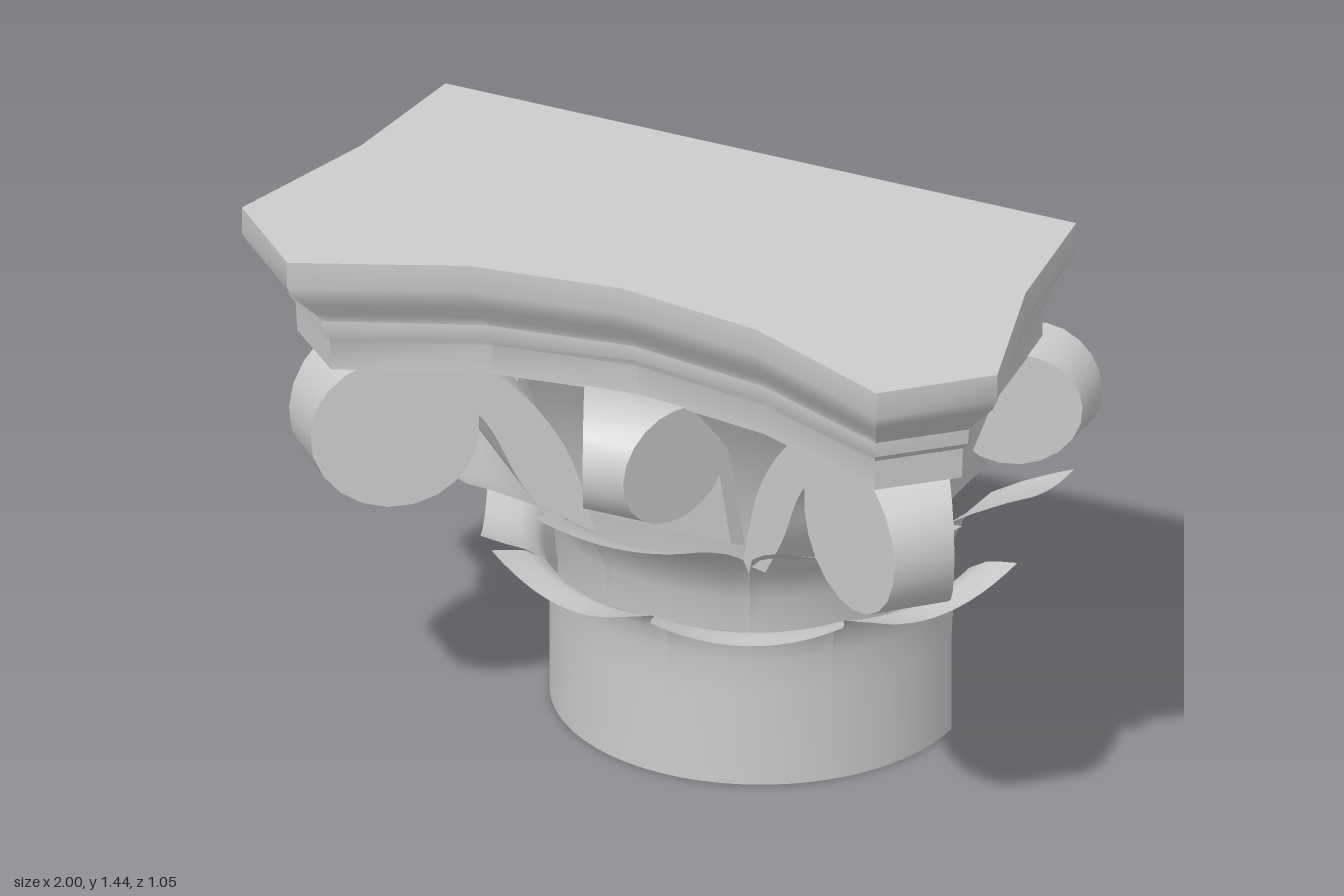
import * as THREE from 'three';
import { toCreasedNormals } from 'three/addons/utils/BufferGeometryUtils.js';

const CZ = -0.465; // column axis, on the open back plane
const mat = new THREE.MeshStandardMaterial({ color: 0xcccccc, side: THREE.DoubleSide });

function part(name, geometry, angle = 0) {
  const mesh = new THREE.Mesh(geometry, mat);
  mesh.name = name;
  mesh.rotation.y = angle;
  return mesh;
}

// Surface through a grid of points: rows x cols
function grid(rows, cols, pointAt) {
  const pos = [], idx = [];
  for (let i = 0; i < rows; i++) {
    for (let j = 0; j < cols; j++) {
      pos.push(...pointAt(i, j));
      if (i && j) {
        const a = (i - 1) * cols + j - 1, b = a + 1, c = a + cols, d = c + 1;
        idx.push(a, b, d, a, d, c);
      }
    }
  }
  const g = new THREE.BufferGeometry();
  g.setAttribute('position', new THREE.Float32BufferAttribute(pos, 3));
  g.setIndex(idx);
  g.computeVertexNormals();
  return g;
}

// Leaf: starts as an eighth of a drum and opens into a strip with a sagging rim.
// Profile rows are [radius, height, openness].
function leaf(profile, halfWidth, sag, u0 = -1, u1 = 1) {
  const cols = 13, mix = THREE.MathUtils.lerp;
  return grid(profile.length, cols, (i, j) => {
    const [r, y, open] = profile[i];
    const u = mix(u0, u1, j / (cols - 1)), a = u * Math.PI / 8;
    return [
      mix(r * Math.sin(a), u * halfWidth, open),
      y - sag * (1 - u * u) * open,
      mix(r * Math.cos(a), r, open),
    ];
  });
}

const lowerProfile = [
  [0.505, 0, 0], [0.505, 0.25, 0], [0.51, 0.34, 0], [0.52, 0.4, 0.05],
  [0.54, 0.445, 0.25], [0.575, 0.475, 0.55], [0.615, 0.492, 0.8], [0.66, 0.51, 1],
];
const upperProfile = [
  [0.49, 0.38, 0], [0.5, 0.5, 0], [0.54, 0.59, 0.1], [0.6, 0.665, 0.4],
  [0.68, 0.725, 0.75], [0.76, 0.772, 0.95], [0.82, 0.8, 1],
];

// Scroll on a stalk: outline in the (radial, height) plane, width varying with radius
function scroll(center, radius, outer, inner, widthAt, lMin = -1, lMax = 1) {
  const v = ([x, y]) => new THREE.Vector2(x, y);
  const [cx, cy] = center;
  const s = new THREE.Shape();
  s.moveTo(...outer[0]);
  s.splineThru([...outer.slice(1).map(v), new THREE.Vector2(cx, cy + radius)]);
  s.absarc(cx, cy, radius, Math.PI / 2, -Math.PI * 1.25, true);
  s.lineTo(...inner[0]);
  s.splineThru(inner.slice(1).map(v));
  s.closePath();
  let g = new THREE.ExtrudeGeometry(s, { depth: 2, bevelEnabled: false, curveSegments: 9 });
  g.translate(0, 0, -1).rotateY(-Math.PI / 2);
  const p = g.attributes.position;
  for (let i = 0; i < p.count; i++) {
    p.setX(i, THREE.MathUtils.clamp(p.getX(i) * widthAt(p.getZ(i)), lMin, lMax));
  }
  g = toCreasedNormals(g, 0.8);
  return g;
}

const cornerScroll = () => scroll([0.97, 0.915], 0.2,
  [[0.5, 0.62], [0.57, 0.85], [0.7, 1.03], [0.83, 1.1]],
  [[0.81, 1.0], [0.74, 0.9], [0.68, 0.77], [0.6, 0.64]],
  (r) => 0.12 - 0.22 * (r - 0.97));

const centerScroll = (lMin, lMax) => scroll([0.73, 0.97], 0.148,
  [[0.53, 0.68], [0.565, 0.9], [0.61, 1.04], [0.665, 1.105]],
  [[0.625, 1.01], [0.61, 0.95], [0.595, 0.85], [0.57, 0.7]],
  (r) => 0.1 - 0.45 * (r - 0.775), lMin, lMax);

// Top slab: plan outline swept down a moulding, open at the back
function abacus() {
  const group = new THREE.Group();
  group.name = 'abacus';
  // Right half of the plan: x, z, and inset in x and z at the slab's foot
  const half = [
    [0, 0.305, 0, -0.09], [0.38, 0.358, -0.02, -0.09], [0.78, 0.53, -0.06, -0.118],
    [1, 0.32, -0.12, -0.055], [0.88, -0.09, -0.095, -0.01], [0.835, CZ, -0.09, 0],
  ];
  const plan = [
    ...half.slice(1).reverse().map(([x, z, dx, dz]) => [-x, z, -dx, dz]), ...half,
  ];
  const levels = [
    [1.11, 1], [1.19, 0.97], [1.21, 0.83], [1.247, 0.8], [1.25, 0.8],
    [1.275, 0.63], [1.31, 0.35], [1.34, 0.13], [1.37, 0], [1.44, 0],
  ];
  const at = ([x, z, dx, dz], f) => [x + dx * f, z + dz * f];
  const side = grid(levels.length, plan.length, (i, j) => {
    const [x, z] = at(plan[j], levels[i][1]);
    return [x, levels[i][0], z];
  });
  group.add(part('abacusMoulding', toCreasedNormals(side, 0.55)));
  for (const [name, y, f] of [['abacusTop', 1.44, 0], ['abacusUnderside', 1.11, 1]]) {
    const shape = new THREE.Shape(plan.map((p) => {
      const [x, z] = at(p, f);
      return new THREE.Vector2(x, -z);
    }));
    const cap = new THREE.ShapeGeometry(shape).rotateX(-Math.PI / 2).translate(0, y, 0);
    group.add(part(name, cap));
  }
  return group;
}

export function createModel() {
  const model = new THREE.Group();
  model.name = 'halfCapital';
  const column = new THREE.Group();
  column.name = 'column';
  column.position.z = CZ;
  model.add(abacus(), column);

  // Flaring bell behind the leaves
  const bell = [
    [0.488, 0], [0.485, 0.5], [0.495, 0.62], [0.525, 0.75], [0.57, 0.88], [0.63, 1.0], [0.7, 1.11],
  ].map(([r, y]) => new THREE.Vector2(r, y));
  column.add(part('bell', new THREE.LatheGeometry(bell, 32, -Math.PI / 2, Math.PI)));

  // Lower row of leaves
  for (const k of [-3, -1, 1, 3]) {
    column.add(part('lowerLeaf', leaf(lowerProfile, 0.23, 0.055), k * Math.PI / 8));
  }

  // Upper row of leaves, the end ones cut in half by the back plane
  for (let k = -2; k <= 2; k++) {
    const g = leaf(upperProfile, 0.22, 0.038, k === -2 ? -0.1 : -1, k === 2 ? 0.1 : 1);
    column.add(part('upperLeaf', g, k * Math.PI / 4));
  }

  // Scrolls under the corners and the middle of each face
  for (const s of [-1, 1]) column.add(part('cornerScroll', cornerScroll(), s * Math.PI / 4));
  column.add(part('frontScroll', centerScroll()));
  column.add(part('leftScroll', centerScroll(-1, 0.06), Math.PI / 2));
  column.add(part('rightScroll', centerScroll(-0.06, 1), -Math.PI / 2));
  return model;
}
